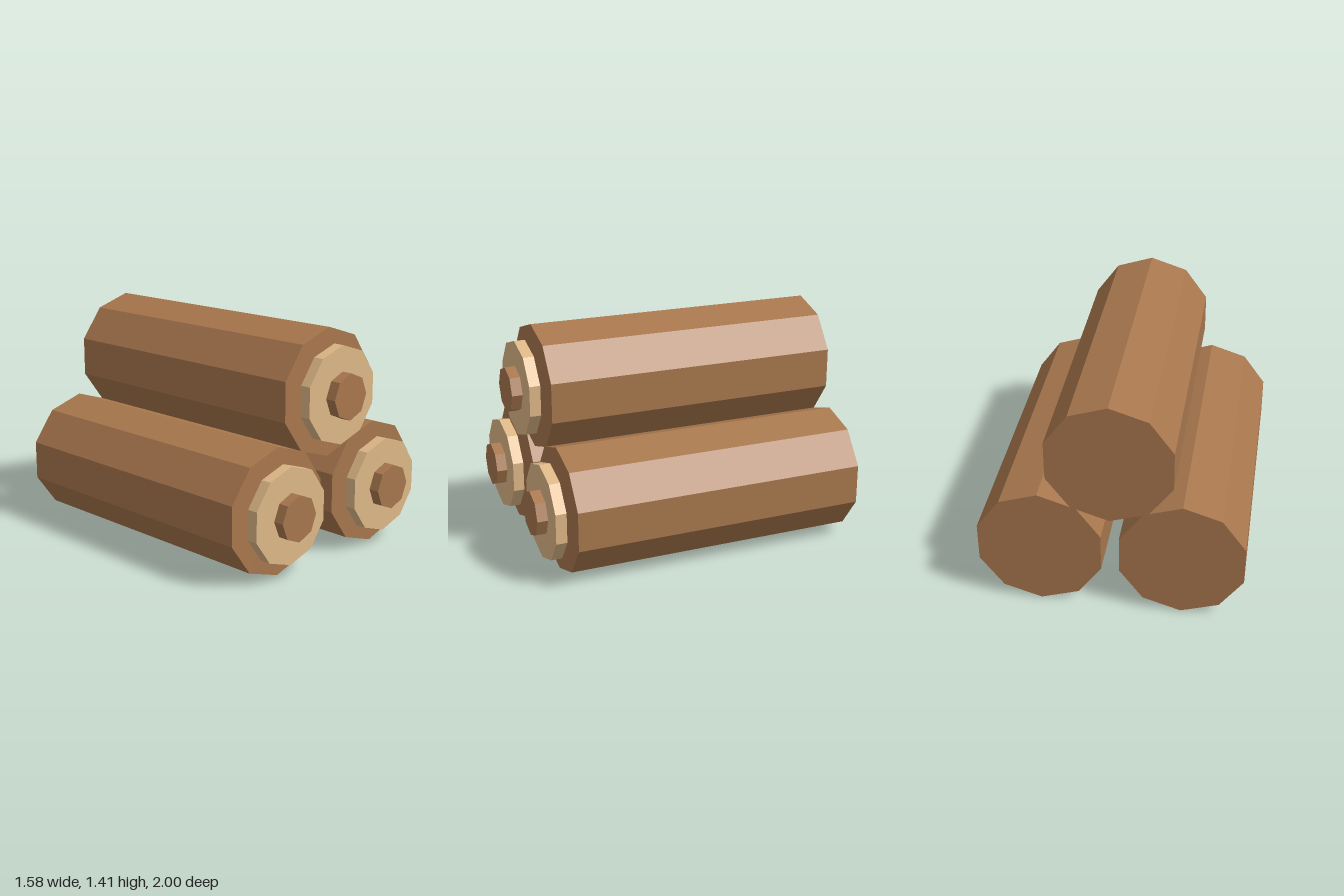
import * as THREE from 'three';

const bark = new THREE.MeshStandardMaterial({ color: 0xa8774d, flatShading: true });
bark.name = 'bark brown';
const wood = new THREE.MeshStandardMaterial({ color: 0xdeb887, flatShading: true });
wood.name = 'pale wood';

// Faceted cylinder lying along z, one corner pointing straight up
function disc(name, radius, sides, zBack, zFront, material) {
  const geometry = new THREE.CylinderGeometry(radius, radius, zFront - zBack, sides);
  geometry.rotateX(Math.PI / 2);
  const mesh = new THREE.Mesh(geometry, material);
  mesh.name = name;
  mesh.position.z = (zBack + zFront) / 2;
  return mesh;
}

// One log with its cut-face disc and heartwood core in front
function createLog(name, x, y) {
  const log = new THREE.Group();
  log.name = name;
  log.add(
    disc('trunk', 0.387, 10, -1, 0.83, bark),
    disc('cutFace', 0.295, 10, 0.868, 0.935, wood),
    disc('heartwood', 0.14, 8, 0.935, 1, bark)
  );
  log.position.set(x, y, 0);
  return log;
}

export function createModel() {
  const pile = new THREE.Group();
  pile.name = 'logPile';
  pile.add(
    createLog('leftLog', 0.422, 0.388),
    createLog('rightLog', -0.422, 0.388),
    createLog('topLog', 0, 1.023)
  );
  return pile;
}
